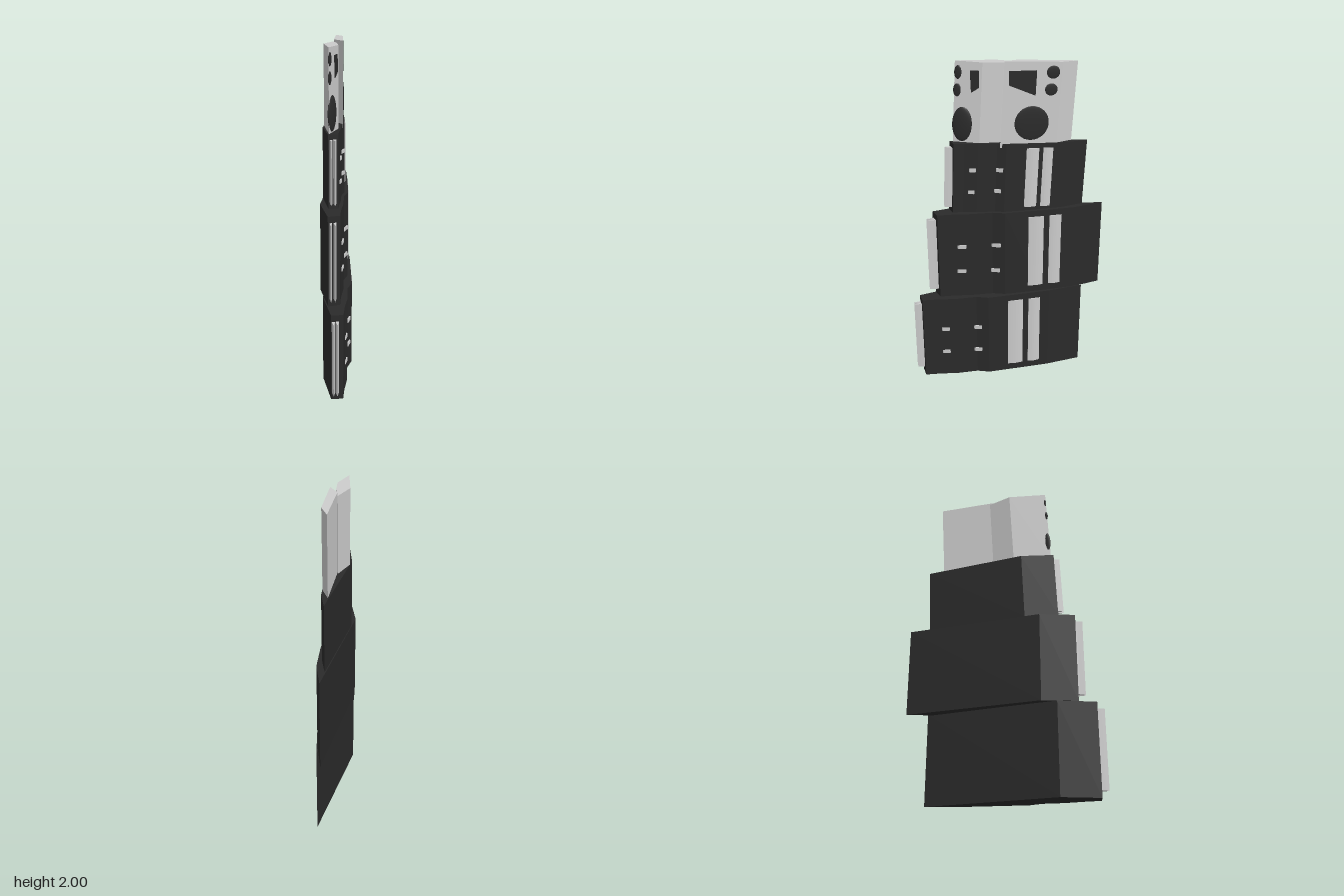
import * as THREE from 'three';

const mat = (color) => new THREE.MeshStandardMaterial({ color, flatShading: true });
const dark = mat(0x2a2a2a), grey = mat(0xcccccc);
const smoothDark = new THREE.MeshStandardMaterial({ color: 0x2a2a2a });

// Vertical prism from a footprint of [x, z] corners
function prism(points, y0, y1) {
  const shape = new THREE.Shape(points.map(([x, z]) => new THREE.Vector2(x, -z)));
  const geo = new THREE.ExtrudeGeometry(shape, { depth: y1 - y0, bevelEnabled: false });
  return geo.rotateX(-Math.PI / 2).translate(0, y0, 0);
}

// Lean a tier backwards with height and tilt it along its length
function warp(geo, { base, lean, tilt }) {
  const p = geo.attributes.position;
  for (let i = 0; i < p.count; i++) {
    const y = p.getY(i), z = p.getZ(i);
    p.setXYZ(i, p.getX(i), y + tilt * z, z - lean * (y - base));
  }
  geo.computeVertexNormals();
  return geo;
}

// x of a side outline (z falling) at a given z
function outlineX(line, z) {
  let i = 0;
  while (i < line.length - 2 && z < line[i + 1][1]) i++;
  const [a, b] = [line[i], line[i + 1]];
  return a[0] + (b[0] - a[0]) * (z - a[1]) / (b[1] - a[1]);
}

// Footprints run: rear tip, plain side corner, front edge, then the detailed side
const cabinets = [
  {
    name: 'lowerCabinet', base: 0, y0: 0.005, y1: 0.555, lean: 0, tilt: -0.008,
    foot: [[0.08, -0.465], [-0.095, 0.32], [-0.055, 0.545], [0.015, 0.54], [0.027, 0.45], [0.05, 0.34],
      [0.058, 0.21], [0.088, 0.14], [0.094, -0.1], [0.097, -0.25]],
    strips: [[0.015, -0.08], [-0.115, -0.19]], stripY: [0.05, 0.515],
    handles: [[0.405, 0.34], [0.205, 0.34], [0.405, 0.175], [0.205, 0.175]], handleW: 0.055,
    fins: [-0.042, -0.02], finZ: 0.585,
  },
  {
    name: 'middleCabinet', base: 0.56, y0: 0.555, y1: 1.103, lean: 0, tilt: 0,
    foot: [[0.045, -0.59], [-0.105, 0.23], [-0.068, 0.442], [0.002, 0.425], [0.01, 0.34], [0.03, 0.23],
      [0.04, 0.1], [0.068, 0.03], [0.078, -0.2], [0.08, -0.4]],
    strips: [[-0.115, -0.21], [-0.245, -0.32]], stripY: [0.6, 1.065],
    handles: [[0.285, 0.89], [0.08, 0.89], [0.29, 0.725], [0.085, 0.72]], handleW: 0.06,
    fins: [-0.052, -0.028], finZ: 0.483,
  },
  {
    name: 'upperCabinet', base: 1.1, y0: 1.1, y1: 1.523, lean: 0.04, tilt: 0.035,
    foot: [[0.028, -0.465], [-0.085, 0.14], [-0.06, 0.342], [-0.003, 0.33], [0.002, 0.27], [0.017, 0.19],
      [0.025, 0.08], [0.045, 0.03], [0.054, -0.15], [0.055, -0.33]],
    strips: [[-0.09, -0.165], [-0.19, -0.25]], stripY: [1.13, 1.495],
    handles: [[0.22, 1.363], [0.063, 1.363], [0.225, 1.228], [0.07, 1.233]], handleW: 0.045,
    fins: [-0.045, -0.024], finZ: 0.375,
  },
];

function makeCabinet(c) {
  const group = new THREE.Group();
  group.name = c.name;
  const add = (name, geo, m) => {
    const mesh = new THREE.Mesh(warp(geo, c), m);
    mesh.name = name;
    group.add(mesh);
  };
  const side = [...c.foot.slice(3), c.foot[0]];
  add('cabinetBody', prism(c.foot, c.y0, c.y1), dark);

  // Rounded side strips
  for (const [za, zb] of c.strips) {
    const pts = [];
    for (let i = 0; i <= 6; i++) {
      const z = za + (zb - za) * i / 6;
      pts.push([outlineX(side, z) + 0.001 + 0.006 * Math.sin(Math.PI * i / 6), z]);
    }
    pts.push([outlineX(side, zb) - 0.004, zb], [outlineX(side, za) - 0.004, za]);
    add('sideStrip', prism(pts, ...c.stripY), grey);
  }

  // Small handles
  for (const [z, y] of c.handles) {
    const w = c.handleW / 2, a = z + w, b = z - w;
    const xa = outlineX(side, a), xb = outlineX(side, b);
    add('handle', prism([[xa - 0.004, a], [xa + 0.006, a - 0.008], [xb + 0.006, b + 0.008], [xb - 0.004, b]],
      y - 0.011, y + 0.011), grey);
  }

  // Pointed fins on the front edge
  const frontZ = c.foot[3][1] - 0.004;
  for (const x of c.fins) {
    add('frontFin', prism([[x - 0.011, frontZ], [x - 0.005, frontZ + 0.03], [x, c.finZ],
      [x + 0.005, frontZ + 0.03], [x + 0.011, frontZ]], ...c.stripY), grey);
  }
  return group;
}

// Speakers: face is the pair of corners the drivers sit on; drivers are [z, y, rz, ry, depth]
const speakers = [
  {
    name: 'frontSpeaker', base: 1.5, y0: 1.5, y1: 1.983, lean: 0.055, tilt: 0.05,
    foot: [[-0.015, -0.06], [-0.075, 0.076], [-0.055, 0.309], [0.003, 0.166], [0.002, 0.046]],
    face: [[-0.055, 0.309], [0.003, 0.166]],
    drivers: [[0.262, 1.625, 0.053, 0.1, 0.014], [0.292, 1.92, 0.019, 0.038, 0.006], [0.294, 1.82, 0.02, 0.037, 0.006]],
    horn: [[0.23, 1.935], [0.184, 1.937], [0.178, 1.842], [0.22, 1.81]],
  },
  {
    name: 'rearSpeaker', base: 1.5, y0: 1.5, y1: 1.996, lean: 0.055, tilt: 0.05,
    foot: [[0.015, -0.384], [-0.012, -0.04], [0.035, 0.05], [0.053, -0.284]],
    face: [[0.035, 0.05], [0.053, -0.284]],
    drivers: [[-0.127, 1.645, 0.1, 0.1, 0.006], [-0.232, 1.938, 0.038, 0.037, 0.004], [-0.227, 1.84, 0.036, 0.035, 0.004]],
    horn: [[0.023, 1.942], [-0.137, 1.948], [-0.138, 1.805], [0.018, 1.862]],
  },
];

function makeSpeaker(s) {
  const group = new THREE.Group();
  group.name = s.name;
  const add = (name, geo, m) => {
    const mesh = new THREE.Mesh(warp(geo, s), m);
    mesh.name = name;
    group.add(mesh);
  };
  // Slide a piece sideways so it lies on the slanted face
  const ontoFace = (geo) => {
    const p = geo.attributes.position;
    for (let i = 0; i < p.count; i++) p.setX(i, p.getX(i) + outlineX(s.face, p.getZ(i)));
    return geo;
  };
  add('speakerBox', prism(s.foot, s.y0, s.y1), grey);

  // Domed drivers
  for (const [z, y, rz, ry, d] of s.drivers) {
    const dome = new THREE.SphereGeometry(1, 28, 16).scale(d, ry, rz).translate(0, y, z);
    add('driver', ontoFace(dome), smoothDark);
  }

  // Four-sided horn panel
  const shape = new THREE.Shape(s.horn.map(([z, y]) => new THREE.Vector2(-z, y)));
  const horn = new THREE.ExtrudeGeometry(shape, { depth: 0.006, bevelEnabled: false });
  add('hornPanel', ontoFace(horn.rotateY(Math.PI / 2).translate(-0.003, 0, 0)), dark);
  return group;
}

export function createModel() {
  const model = new THREE.Group();
  model.name = 'speakerTower';
  cabinets.forEach((c) => model.add(makeCabinet(c)));
  speakers.forEach((s) => model.add(makeSpeaker(s)));
  return model;
}
